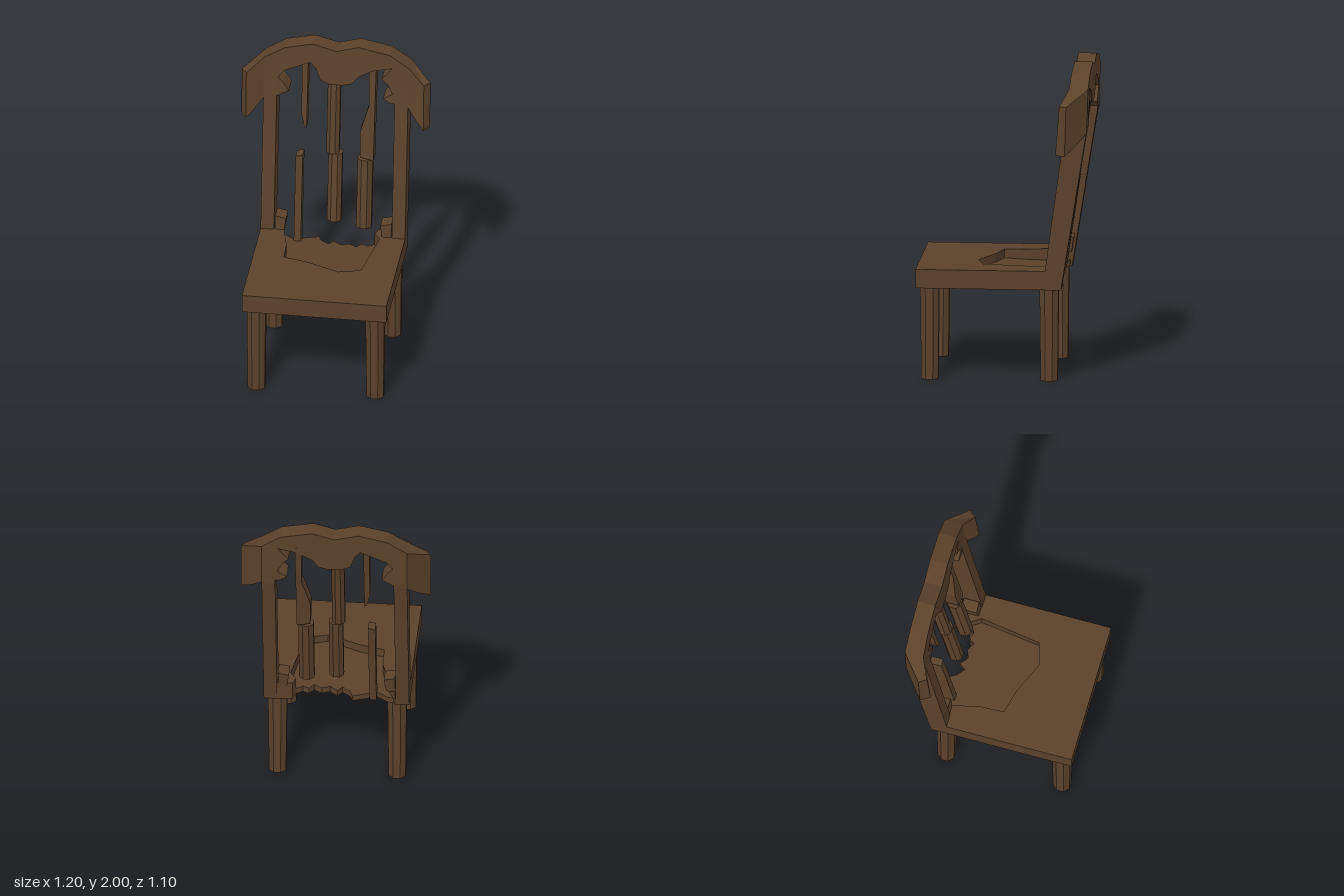
import * as THREE from 'three';

const wood = new THREE.MeshStandardMaterial({ color: 0x5b412a, flatShading: true, side: THREE.DoubleSide });

// Centre line of the leaning back
const lean = (y) => -0.33 - 0.15 * (y - 0.75);

// Straight-sided slab from an outline
function slab(points, depth) {
  const shape = new THREE.Shape(points.map(([a, b]) => new THREE.Vector2(a, b)));
  return new THREE.ExtrudeGeometry(shape, { depth, bevelEnabled: false });
}

// Move every vertex by a rule
function warp(geometry, rule) {
  const p = geometry.attributes.position;
  const v = new THREE.Vector3();
  for (let i = 0; i < p.count; i++) {
    v.fromBufferAttribute(p, i);
    rule(v);
    p.setXYZ(i, v.x, v.y, v.z);
  }
  geometry.computeVertexNormals();
  return geometry;
}

export function createModel() {
  const chair = new THREE.Group();
  chair.name = 'brokenChair';
  const add = (name, geometry) => {
    const mesh = new THREE.Mesh(geometry, wood);
    mesh.name = name;
    chair.add(mesh);
    return mesh;
  };

  // Seat: outline in x, z with a broken bay at the back
  const flat = (outline, bottom, height) =>
    slab(outline.map(([x, z]) => [x, -z]), height).rotateX(-Math.PI / 2).translate(0, bottom, 0);
  const bay = [[0.28, -0.36], [0.26, -0.31], [0.3, -0.25], [0.24, 0.14], [0.1, 0.18],
    [-0.11, 0.09], [-0.265, 0.05], [-0.27, -0.1], [-0.31, -0.27], [-0.37, -0.37]];
  add('seat', flat([[-0.46, 0.55], [0.46, 0.55], [0.46, -0.37], [0.37, -0.37], ...bay, [-0.46, -0.37]], 0.59, 0.12));

  // Splintered floor of the bay, sinking toward the back
  const splinters = [[-0.36, -0.36], [-0.32, -0.35], [-0.25, -0.3], [-0.22, -0.27], [-0.2, -0.32], [-0.1, -0.355],
    [-0.08, -0.31], [-0.03, -0.27], [0, -0.31], [0.05, -0.27], [0.1, -0.29], [0.15, -0.26],
    [0.18, -0.3], [0.22, -0.28], [0.25, -0.3]];
  const floor = flat([...splinters, ...bay.slice(1, 9)], 0, 1);
  add('brokenSeatFloor', warp(floor, (v) => {
    v.y = 0.592 + v.y * (0.04 + 0.06 * (v.z + 0.3));
  }));

  // Legs
  for (const [row, z] of [['front', 0.465], ['rear', -0.29]]) {
    for (const [side, s] of [['Left', 1], ['Right', -1]]) {
      const leg = new THREE.CylinderGeometry(0.065, 0.058, 0.6, 8).rotateY(Math.PI / 8);
      add(`${row}${side}Leg`, leg).position.set(s * 0.378, 0.3, z);
    }
  }

  // Back posts and the stubs of the lower rail beside them
  const post = [[-0.27, 0.6], [-0.27, 0.72], [-0.415, 1.78], [-0.535, 1.78], [-0.53, 1.6], [-0.37, 0.59]];
  const stub = [[0.37, 0.69], [0.315, 0.69], [0.31, 0.71], [0.3, 0.785], [0.37, 0.8]];
  for (const [side, s] of [['left', 1], ['right', -1]]) {
    const g = slab(post.map(([z, y]) => [-z, y]), 0.085).rotateY(Math.PI / 2);
    add(`${side}Post`, g.translate(s * 0.4175 - 0.0425, 0, 0));
    const piece = slab(stub.map(([x, y]) => [s * x, y]), 0.1);
    add(`${side}RailStub`, warp(piece, (v) => { v.z += lean(v.y) - 0.05; }));
  }

  // Crest rail: a middle span and two wings that bend forward
  const crestMiddle = [[-0.46, 1.88], [-0.33, 1.96], [-0.15, 2], [0, 1.96], [0.14, 2], [0.34, 1.96], [0.46, 1.88],
    [0.46, 1.6], [0.44, 1.62], [0.35, 1.62], [0.3, 1.65], [0.36, 1.69], [0.33, 1.75], [0.29, 1.79], [0.36, 1.87],
    [0.23, 1.84], [0.14, 1.79], [0.1, 1.74], [0.04, 1.725], [-0.04, 1.725], [-0.1, 1.75], [-0.13, 1.83],
    [-0.165, 1.87], [-0.33, 1.8], [-0.37, 1.75], [-0.34, 1.72], [-0.3, 1.66], [-0.37, 1.62], [-0.46, 1.6]];
  const wing = [[0.46, 1.88], [0.6, 1.79], [0.6, 1.475], [0.53, 1.53], [0.46, 1.6]];
  const bend = (v) => {
    const t = Math.max(0, (Math.abs(v.x) - 0.46) / 0.14);
    const drop = 2 - v.y;
    if (v.z > 0.5) {
      v.x -= Math.sign(v.x) * 0.035 * t;
      v.z = -0.43 + 0.08 * drop + 0.045 * t;
    } else {
      v.z = -0.545 + 0.03 * drop + 0.125 * t;
    }
  };
  add('crestRail', warp(slab(crestMiddle, 1), bend));
  for (const [side, s] of [['left', 1], ['right', -1]]) {
    add(`${side}CrestWing`, warp(slab(wing.map(([x, y]) => [s * x, y]), 1), bend));
  }

  // Whole spindle pieces: x, bottom, top, radius
  for (const [name, x, y0, y1, r] of [
    ['middleSpindleLower', 0, 0.785, 1.24, 0.048],
    ['middleSpindleUpper', -0.018, 1.24, 1.78, 0.044],
    ['leftSpindleLower', 0.19, 0.755, 1.215, 0.052],
  ]) {
    const g = new THREE.CylinderGeometry(r, r, y1 - y0, 8).rotateY(Math.PI / 8).translate(x, (y0 + y1) / 2, 0);
    add(name, warp(g, (v) => { v.z += lean(v.y); }));
  }

  // Split spindle pieces: outline in x, y and thickness
  for (const [name, outline, depth] of [
    ['leftSpindleUpper', [[0.16, 1.235], [0.245, 1.215], [0.25, 1.88], [0.205, 1.88], [0.21, 1.59], [0.155, 1.4]], 0.085],
    ['rightSpindleLower', [[-0.25, 0.6], [-0.205, 0.6], [-0.205, 1.215], [-0.25, 1.205]], 0.075],
    ['rightSpindleUpper', [[-0.185, 1.4], [-0.183, 1.88], [-0.222, 1.88], [-0.22, 1.5], [-0.2, 1.41]], 0.07],
  ]) {
    add(name, warp(slab(outline, depth), (v) => { v.z += lean(v.y) - depth / 2; }));
  }

  return chair;
}
